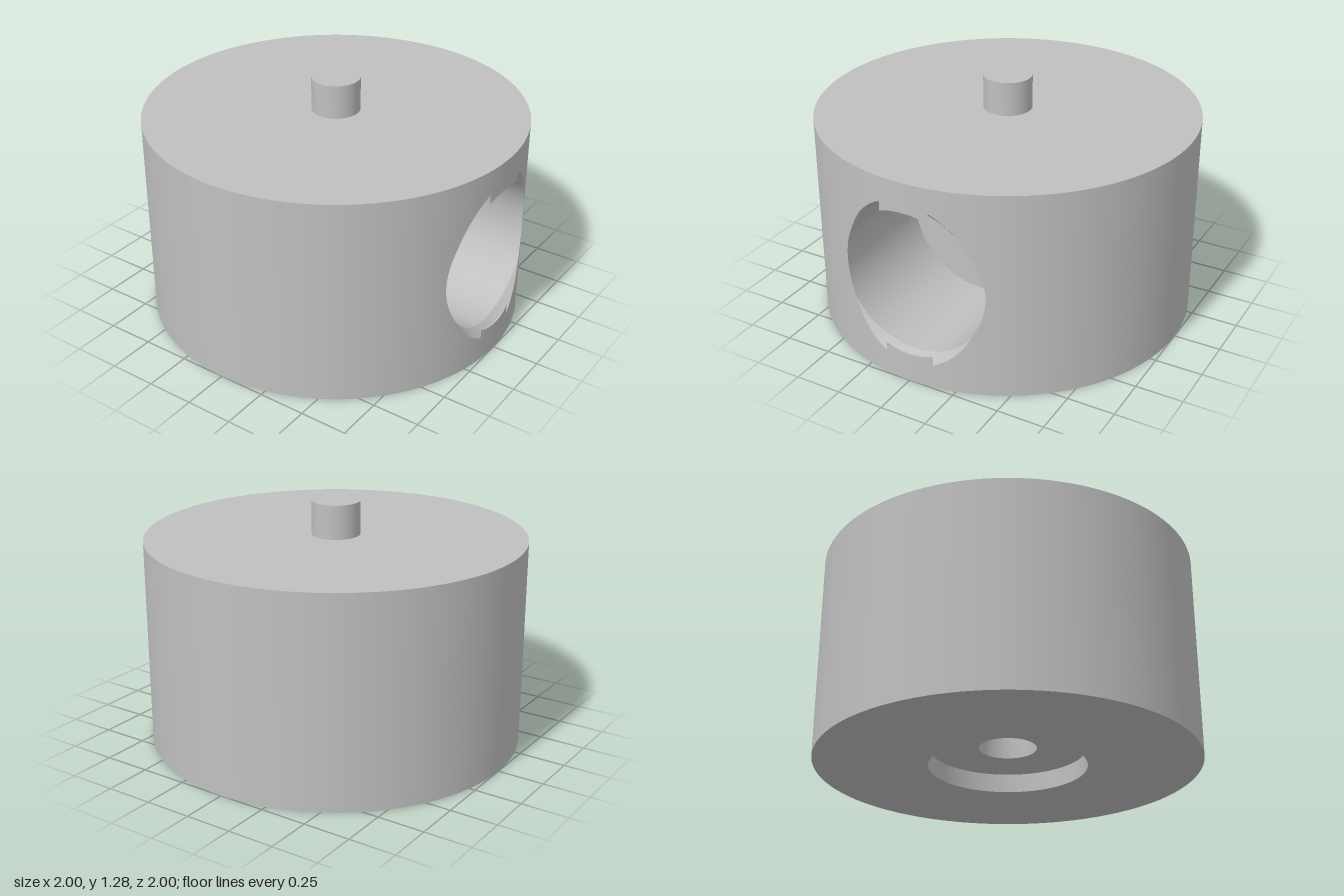
import * as THREE from 'three';
import { toCreasedNormals } from 'three/addons/utils/BufferGeometryUtils.js';

const HEIGHT = 1.1, MID = 0.55;
const BORE = 0.393, SINK = 0.441;          // side bore and countersink radii
const LIP = 0.135;                         // half width of the thin lips over the countersink
const SINK_IN = 0.94, SINK_OUT = Math.sqrt(1 - LIP * LIP);
const BORE_END = 0.3, PATCH = 0.6;         // bore floor x, half angle of the pierced wall

const grey = new THREE.MeshStandardMaterial({ color: 0xc0c0c0, side: THREE.DoubleSide });
grey.name = 'grey';

// Grid surface from a point rule f(u, v) -> [x, y, z]
function surface(f, nu, nv) {
  const pos = [], index = [];
  for (let i = 0; i <= nu; i++)
    for (let j = 0; j <= nv; j++) pos.push(...f(i / nu, j / nv));
  for (let i = 0; i < nu; i++)
    for (let j = 0; j < nv; j++) {
      const a = i * (nv + 1) + j, b = a + nv + 1;
      index.push(a, b, a + 1, b, b + 1, a + 1);
    }
  const g = new THREE.BufferGeometry();
  g.setAttribute('position', new THREE.Float32BufferAttribute(pos, 3));
  g.setIndex(index);
  g.computeVertexNormals();
  return g;
}

const lathe = (points) => toCreasedNormals(
  new THREE.LatheGeometry(points.map(([x, y]) => new THREE.Vector2(x, y)), 128), 0.6);
const wallX = (z) => Math.sqrt(1 - z * z);
const mix = THREE.MathUtils.lerp;

// Radius at which the countersunk bore leaves the round wall
function rimRadius(phi) {
  const slope = (SINK - BORE) / (SINK_OUT - SINK_IN);
  let r = BORE;
  for (let k = 0; k < 30; k++)
    r = THREE.MathUtils.clamp(BORE + slope * (wallX(r * Math.cos(phi)) - SINK_IN), BORE, SINK);
  return r;
}

export function createModel() {
  const model = new THREE.Group();
  const add = (name, geometry) => {
    const mesh = new THREE.Mesh(geometry, grey);
    mesh.name = name;
    model.add(mesh);
    return mesh;
  };

  // Top with pin, underside with recess and pin socket
  add('topAndPin', lathe([[1, HEIGHT], [0.127, HEIGHT], [0.127, 1.28], [0, 1.28]]));
  add('undersideAndSocket', lathe([[0, 0.3], [0.15, 0.3], [0.15, 0.1], [0.41, 0.1], [0.41, 0], [1, 0]]));

  // Plain part of the round wall
  add('roundWall', new THREE.CylinderGeometry(1, 1, HEIGHT, 104, 1, true,
    Math.PI / 2 + PATCH, 2 * Math.PI - 2 * PATCH)).position.y = MID;

  // Wall around the bore, spread from the rim to a rectangle
  add('piercedWall', surface((u, v) => {
    const phi = u * 2 * Math.PI, c = Math.cos(phi), s = Math.sin(phi);
    const r = rimRadius(phi), m = Math.max(Math.abs(c), Math.abs(s));
    const angle = mix(Math.asin(r * c), PATCH * c / m, v);
    return [Math.cos(angle), MID + mix(r * s, MID * s / m, v), Math.sin(angle)];
  }, 192, 12));

  // Bore, its floor and the countersink
  add('bore', surface((u, v) => {
    const phi = u * 2 * Math.PI, z = BORE * Math.cos(phi);
    return [mix(BORE_END, Math.min(SINK_IN, wallX(z)), v), MID + BORE * Math.sin(phi), z];
  }, 192, 1));
  const floor = add('boreFloor', new THREE.CircleGeometry(BORE, 96));
  floor.rotation.y = Math.PI / 2;
  floor.position.set(BORE_END, MID, 0);
  add('countersink', surface((u, v) => {
    const phi = u * 2 * Math.PI, c = Math.cos(phi), rim = rimRadius(phi);
    const r = mix(BORE, rim, v);
    const x = mix(Math.min(SINK_IN, wallX(BORE * c)), Math.min(SINK_OUT, wallX(rim * c)), v);
    return [x, MID + r * Math.sin(phi), r * c];
  }, 192, 1));

  // Thin lips left above and below the bore mouth
  for (const side of [1, -1]) {
    const name = side > 0 ? 'upperLip' : 'lowerLip';
    const lipZ = (u) => side * LIP * (1 - 2 * u);
    const lipY = (z, r) => MID + side * Math.sqrt(r * r - z * z);
    add(name + 'Front', surface((u, v) => {
      const z = lipZ(u);
      return [wallX(z), mix(lipY(z, BORE), lipY(z, SINK), v), z];
    }, 16, 1));
    add(name + 'Back', surface((u, v) => {
      const z = -lipZ(u);
      return [SINK_OUT, mix(lipY(z, BORE), lipY(z, SINK), v), z];
    }, 16, 1));
    add(name + 'Edge', surface((u, v) => {
      const z = lipZ(u);
      return [mix(SINK_OUT, wallX(z), v), lipY(z, BORE), z];
    }, 16, 1));
  }
  return model;
}
